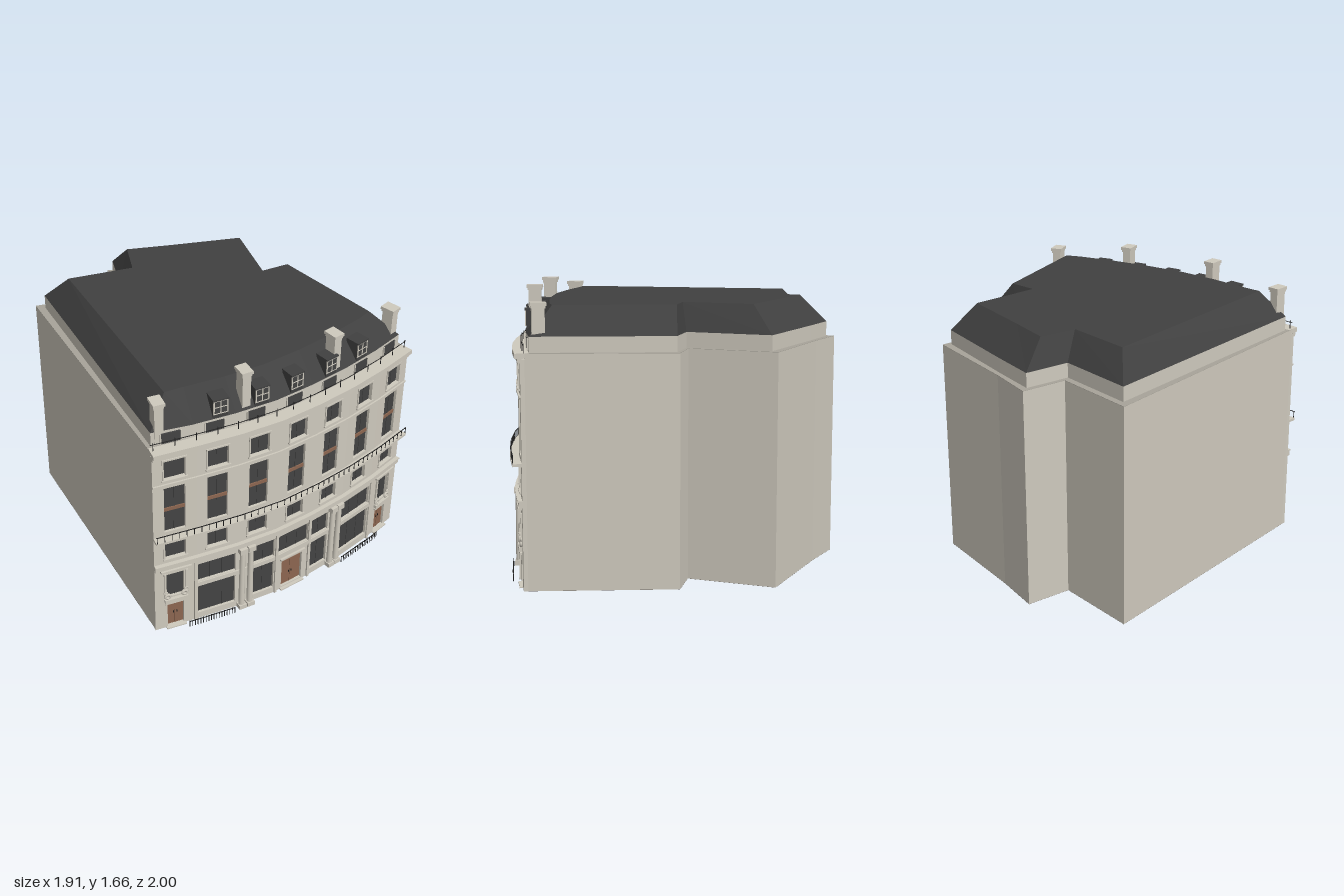
import * as THREE from 'three';

const mat = (name, color) => Object.assign(new THREE.MeshStandardMaterial({ color }), { name });

export function createModel() {
  const model = new THREE.Group();
  model.name = 'terraceBuilding';
  const stone = mat('stone', 0xcfcabe), slate = mat('slate', 0x404040), glass = mat('glass', 0x434343);
  const iron = mat('iron', 0x202020), wood = mat('wood', 0x8c6650);
  const lead = mat('lead', 0xa8a49a), underside = mat('underside', 0x706a66);

  // Bowed street front: one straight segment per bay, [x, z]
  const front = [[-0.935, 0.54], [-0.7, 0.65], [-0.465, 0.752], [-0.22, 0.838], [0.035, 0.892], [0.29, 0.928], [0.55, 0.945], [0.808, 0.945]];
  const bays = front.length - 1;
  const segAngle = i => Math.atan2(front[i][1] - front[i + 1][1], front[i + 1][0] - front[i][0]);
  const bayAt = x => {
    let i = 0;
    while (i < bays - 1 && x > front[i + 1][0]) i++;
    return i;
  };
  // Point on the front line pushed outwards, with the angle of its bay
  const at = (x, out) => {
    const i = bayAt(x), a = segAngle(i), [x0, z0] = front[i];
    return { a, x: x + Math.sin(a) * out, z: z0 - Math.tan(a) * (x - x0) + Math.cos(a) * out };
  };
  const corner = (i, out) => {
    const a = (segAngle(Math.max(i - 1, 0)) + segAngle(Math.min(i, bays - 1))) / 2;
    return [front[i][0] + Math.sin(a) * out, front[i][1] + Math.cos(a) * out];
  };
  const frontLine = out => front.map((_, i) => corner(i, out));

  const add = (name, geo, material) => {
    const m = new THREE.Mesh(geo, material);
    m.name = name;
    model.add(m);
    return m;
  };
  const planShape = pts => new THREE.Shape(pts.map(([x, z]) => new THREE.Vector2(x, -z)));
  const prism = (name, pts, y0, y1, material) => {
    const g = new THREE.ExtrudeGeometry(planShape(pts), { depth: y1 - y0, bevelEnabled: false });
    return add(name, g.rotateX(-Math.PI / 2).translate(0, y0, 0), material);
  };
  // Block set against the front, by x range, height range and distance range from the wall
  const slab = (name, x0, x1, y0, y1, o0, o1, material) => {
    const p = at((x0 + x1) / 2, (o0 + o1) / 2);
    const m = add(name, new THREE.BoxGeometry((x1 - x0) / Math.cos(p.a), y1 - y0, o1 - o0), material);
    m.position.set(p.x, (y0 + y1) / 2, p.z);
    m.rotation.y = p.a;
  };
  // Moulding that follows the whole front
  const band = (name, y0, y1, o0, o1, material) =>
    prism(name, [...frontLine(o1), ...frontLine(o0).reverse()], y0, y1, material);

  // Main body, attic storey and mansard roof
  const rear = [[-0.383, -1], [0.056, -0.75], [0.209, -0.98], [0.44, -0.805], [0.957, -0.455], [0.7, 0], [0.905, 0.08]];
  const rearEaves = [[-0.357, -0.94], [0.056, -0.705], [0.209, -0.93], [0.44, -0.77], [0.912, -0.43], [0.667, 0.005], [0.865, 0.09]];
  const rearRidge = [[-0.294, -0.78], [0.056, -0.59], [0.188, -0.77], [0.4, -0.615], [0.77, -0.355], [0.57, 0.01], [0.73, 0.07]];
  const eavesFront = frontLine(-0.05), ridgeFront = frontLine(-0.185);
  eavesFront[0] = [-0.89, 0.49];
  eavesFront[bays] = [0.775, 0.893];
  ridgeFront[0] = [-0.73, 0.44];
  ridgeFront[bays] = [0.65, 0.755];
  const body = [...rear, ...frontLine(-0.025).reverse()];
  const eaves = [...rearEaves, ...eavesFront.reverse()], ridge = [...rearRidge, ...ridgeFront.reverse()];
  prism('walls', body, 0.001, 1.33, stone);
  prism('base', body, 0, 0.001, underside);
  prism('ledge', body, 1.33, 1.332, lead);
  prism('attic', eaves, 1.33, 1.42, stone);

  const slopes = [];
  eaves.forEach(([ax, az], i) => {
    const j = (i + 1) % eaves.length, [bx, bz] = eaves[j], [cx, cz] = ridge[j], [dx, dz] = ridge[i];
    slopes.push(ax, 1.42, az, dx, 1.58, dz, cx, 1.58, cz, ax, 1.42, az, cx, 1.58, cz, bx, 1.42, bz);
  });
  const slopeGeo = new THREE.BufferGeometry();
  slopeGeo.setAttribute('position', new THREE.Float32BufferAttribute(slopes, 3));
  slopeGeo.computeVertexNormals();
  add('roofSlopes', slopeGeo, slate);
  add('roofTop', new THREE.ShapeGeometry(planShape(ridge)).rotateX(-Math.PI / 2).translate(0, 1.58, 0), slate);

  // Ground-floor openings per bay: [x0, x1, y0, y1, material]
  const ground = [
    [[-0.865, -0.772, 0.008, 0.19, wood], [-0.87, -0.77, 0.245, 0.42, glass]],
    [[-0.692, -0.472, 0.045, 0.265, glass], [-0.692, -0.472, 0.3, 0.435, glass]],
    [[-0.36, -0.225, 0.045, 0.265, glass], [-0.36, -0.225, 0.3, 0.435, glass]],
    [[-0.165, -0.015, 0.015, 0.235, wood], [-0.2, 0.022, 0.3, 0.435, glass]],
    [[0.045, 0.182, 0.045, 0.265, glass], [0.045, 0.182, 0.3, 0.435, glass]],
    [[0.296, 0.543, 0.045, 0.265, glass], [0.296, 0.543, 0.3, 0.435, glass]],
    [[0.63, 0.73, 0.008, 0.19, wood], [0.627, 0.733, 0.245, 0.42, glass]],
  ];

  for (let i = 0; i < bays; i++) {
    const [x0, z0] = front[i], [x1, z1] = front[i + 1];
    const a = segAngle(i), c = Math.cos(a), mid = (x0 + x1) / 2, half = (x1 - x0) / 2 / c;
    const w = 0.057;
    const upper = [[0.55, 0.69], [0.75, 1.067], [1.13, 1.26]].map(([p, q]) => [mid - w, mid + w, p, q, glass]);
    const openings = [...ground[i], ...upper];

    // Facing panel pierced by the openings
    const rect = (Type, l, r, b, t) => new Type([[l, b], [r, b], [r, t], [l, t]].map(p => new THREE.Vector2(...p)));
    const shape = rect(THREE.Shape, -half, half, 0, 1.3);
    openings.forEach(([l, r, b, t]) => shape.holes.push(rect(THREE.Path, (l - mid) / c, (r - mid) / c, b, t)));
    const panel = add('facadeBay', new THREE.ExtrudeGeometry(shape, { depth: 0.025, bevelEnabled: false }), stone);
    panel.position.set(mid - Math.sin(a) * 0.025, 0, (z0 + z1) / 2 - c * 0.025);
    panel.rotation.y = a;

    // Panes, doors and their bars
    openings.forEach(([l, r, b, t, m]) => {
      const m2 = (l + r) / 2;
      slab(m === wood ? 'door' : 'windowPane', l, r, b, t, -0.025, -0.016, m);
      const bars = r - l > 0.2 && m === glass ? 3 : 2;
      for (let k = 1; k < bars; k++) {
        const x = l + (r - l) * k / bars;
        slab('centreBar', x - 0.002, x + 0.002, b, t, -0.016, -0.013, m);
      }
      if (m === wood) {
        for (const s of [-1, 1]) slab('doorHandle', m2 + s * 0.01 - 0.0015, m2 + s * 0.01 + 0.0015, 0.093, 0.107, -0.016, -0.011, iron);
        slab('doorHood', l - 0.015, r + 0.015, t + 0.004, t + 0.016, 0, 0.014, stone);
        slab('doorStep', l - 0.01, r + 0.01, 0, 0.008, -0.01, 0.02, stone);
      }
    });

    // Window surrounds, sills and the timber spandrel of the tall windows
    for (const [b, t] of [[0.55, 0.69], [1.13, 1.26]]) {
      for (const s of [-1, 1]) slab('windowJamb', mid + s * (w + 0.004) - 0.004, mid + s * (w + 0.004) + 0.004, b, t, 0, 0.006, stone);
      slab('windowHead', mid - w - 0.008, mid + w + 0.008, t, t + 0.01, 0, 0.008, stone);
      slab('windowSill', mid - w - 0.012, mid + w + 0.012, b - 0.01, b, 0, 0.012, stone);
    }
    slab('spandrel', mid - w, mid + w, 0.894, 0.916, -0.016, -0.009, wood);

    // Attic window
    slab('atticWindow', mid - 0.052, mid + 0.052, 1.342, 1.406, -0.055, -0.046, glass);
    for (const s of [-1, 1]) slab('atticJamb', mid + s * 0.054 - 0.003, mid + s * 0.054 + 0.003, 1.342, 1.408, -0.052, -0.042, stone);
  }

  // Horizontal mouldings
  band('plinthFascia', 0.475, 0.515, -0.01, 0.018, stone);
  band('fasciaLip', 0.507, 0.515, -0.01, 0.026, stone);
  band('stringCourse', 1.09, 1.1, -0.01, 0.01, stone);
  band('corniceBed', 1.28, 1.305, -0.01, 0.014, stone);
  band('cornice', 1.305, 1.333, -0.05, 0.03, stone);
  band('balconySlab', 0.708, 0.724, -0.01, 0.052, stone);

  // Iron railings
  const posts = (x0, x1, step, y0, y1, out) => {
    const n = Math.round((x1 - x0) / step);
    for (let k = 0; k <= n; k++) {
      const x = x0 + (x1 - x0) * k / n;
      slab('railingPost', x - 0.0017, x + 0.0017, y0, y1, out - 0.0017, out + 0.0017, iron);
    }
  };
  band('balconyRail', 0.764, 0.768, 0.046, 0.05, iron);
  posts(-0.93, 0.804, 0.04, 0.724, 0.765, 0.048);
  band('roofRail', 1.372, 1.375, -0.022, -0.019, iron);
  posts(-0.92, 0.795, 0.115, 1.33, 1.385, -0.02);
  for (const [l, r] of [[-0.755, -0.49], [0.278, 0.603]]) {
    posts(l, r, 0.016, 0, 0.048, 0.047);
    const cuts = [l, ...front.map(p => p[0]).filter(x => x > l && x < r), r];
    for (let k = 0; k < cuts.length - 1; k++) slab('areaRail', cuts[k], cuts[k + 1], 0.04, 0.044, 0.045, 0.049, iron);
  }

  // Paired shopfront columns
  for (const x of [-0.437, -0.385, 0.204, 0.254]) {
    const p = at(x, 0.016);
    add('column', new THREE.CylinderGeometry(0.016, 0.019, 0.41, 16), stone).position.set(p.x, 0.235, p.z);
    slab('columnBase', x - 0.023, x + 0.023, 0, 0.03, -0.01, 0.04, stone);
    slab('columnCapital', x - 0.023, x + 0.023, 0.44, 0.475, -0.01, 0.038, stone);
  }
  // Pilasters and shop transom
  for (const x of [-0.705, -0.21, 0.033, 0.558]) slab('pilaster', x - 0.009, x + 0.009, 0, 0.475, -0.01, 0.01, stone);
  for (let i = 1; i < 6; i++) slab('transom', front[i][0], front[i + 1][0], 0.268, 0.297, -0.005, 0.008, stone);

  // Scrolls, plaques and heads around the windows over the end doors
  for (const x of [-0.8175, 0.68]) {
    slab('doorPlaque', x - 0.065, x + 0.065, 0.212, 0.234, 0, 0.02, stone);
    slab('endWindowHead', x - 0.085, x + 0.085, 0.452, 0.466, 0, 0.022, stone);
    for (const s of [-1, 1]) {
      slab('endWindowJamb', x + s * 0.06 - 0.006, x + s * 0.06 + 0.006, 0.25, 0.43, 0, 0.01, stone);
      [[0.048, 0.256, 0.014], [0.058, 0.282, 0.009]].forEach(([dx, y, r]) => {
        const p = at(x + s * dx, 0.008);
        const scroll = add('scroll', new THREE.TorusGeometry(r, r * 0.6, 8, 14), stone);
        scroll.position.set(p.x, y, p.z);
        scroll.rotation.y = p.a;
      });
    }
  }

  // Dormers
  for (const x of [-0.55, -0.31, -0.078, 0.174, 0.422]) {
    slab('dormer', x - 0.04, x + 0.04, 1.42, 1.538, -0.135, -0.052, slate);
    slab('dormerRoof', x - 0.044, x + 0.044, 1.536, 1.545, -0.135, -0.044, slate);
    slab('dormerPane', x - 0.036, x + 0.036, 1.45, 1.532, -0.052, -0.049, glass);
    for (const s of [-1, 0, 1]) slab('dormerFrame', x + s * 0.037 - 0.003, x + s * 0.037 + 0.003, 1.448, 1.536, -0.052, -0.046, stone);
    for (const y of [1.45, 1.492, 1.533]) slab('dormerFrame', x - 0.038, x + 0.038, y - 0.0025, y + 0.0025, -0.052, -0.047, stone);
  }

  // Chimneys: [x, z, top]
  for (const [x, z, top] of [[-0.835, 0.485, 1.605], [-0.365, 0.685, 1.665], [0.24, 0.82, 1.665], [0.742, 0.84, 1.605]]) {
    const chimney = new THREE.Group();
    chimney.name = 'chimney';
    for (const [name, w, y0, y1] of [['stack', 0.052, 1.34, top - 0.012], ['collar', 0.06, top - 0.032, top - 0.018], ['cap', 0.07, top - 0.018, top]]) {
      const m = new THREE.Mesh(new THREE.BoxGeometry(w, y1 - y0, w + 0.02), stone);
      m.name = name;
      m.position.y = (y0 + y1) / 2;
      chimney.add(m);
    }
    chimney.position.set(x, 0, z);
    chimney.rotation.y = segAngle(bayAt(x));
    model.add(chimney);
  }
  return model;
}
